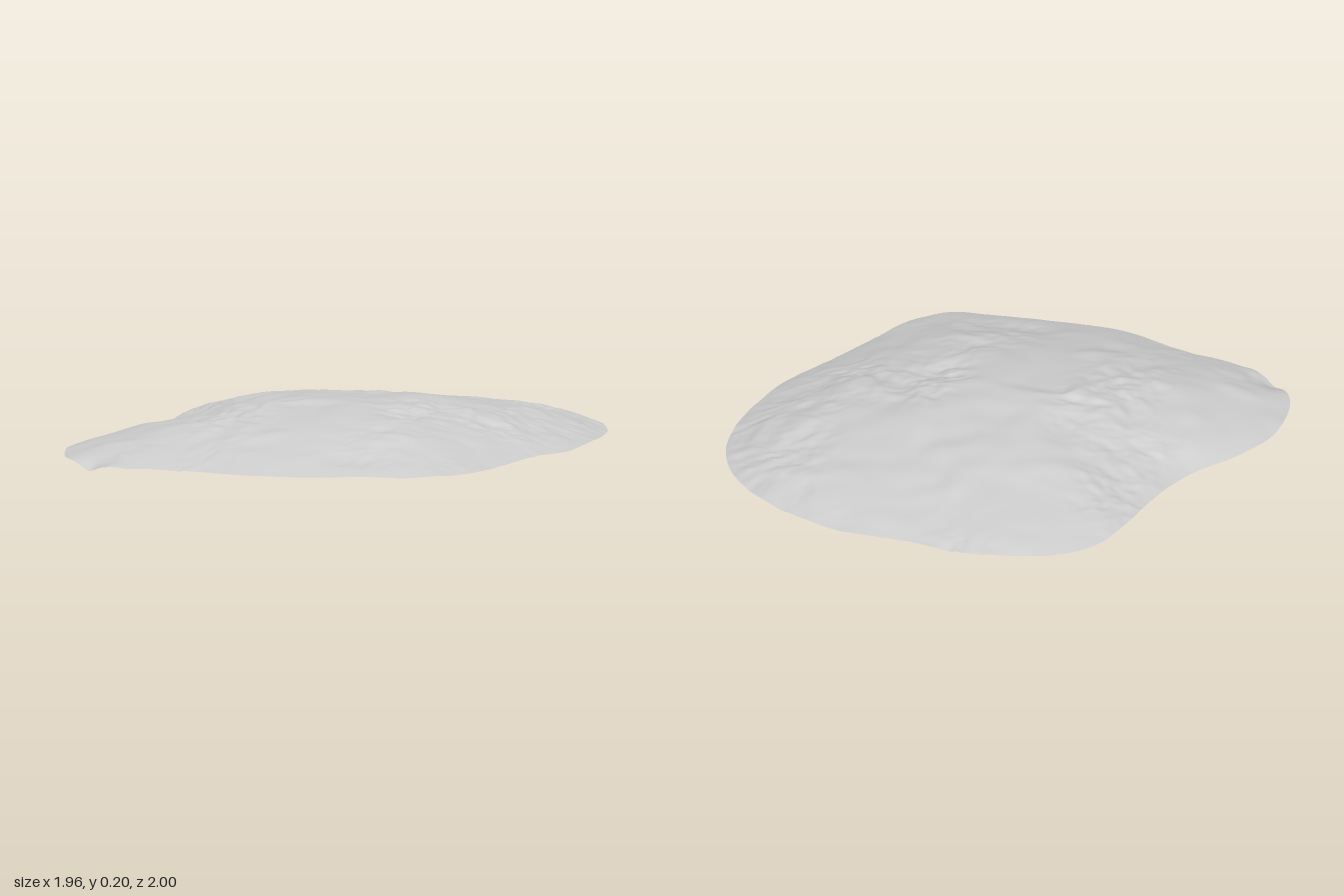
import * as THREE from 'three';

// Rim of the mound as seen from above (x, z), starting at the back
const RIM = [
  [0.2, -1], [0.4, -0.98], [0.6, -0.92], [0.8, -0.78], [0.92, -0.6], [0.97, -0.4], [0.975, -0.2],
  [0.96, 0], [0.88, 0.22], [0.82, 0.45], [0.75, 0.68], [0.62, 0.82], [0.4, 0.89], [0.1, 0.975],
  [-0.08, 0.995], [-0.3, 0.965], [-0.68, 0.95], [-0.88, 0.83], [-0.96, 0.65], [-0.98, 0.48],
  [-0.93, 0.28], [-0.83, 0.05], [-0.8, -0.2], [-0.805, -0.4], [-0.785, -0.6], [-0.72, -0.73],
  [-0.55, -0.86], [-0.35, -0.935], [-0.1, -0.965],
];

// Smooth value noise in the range -1..1
function hash(i, j) {
  const s = Math.sin(i * 127.1 + j * 311.7) * 43758.5453;
  return (s - Math.floor(s)) * 2 - 1;
}
function noise(x, z) {
  const i = Math.floor(x), j = Math.floor(z);
  const u = THREE.MathUtils.smoothstep(x - i, 0, 1), v = THREE.MathUtils.smoothstep(z - j, 0, 1);
  const { lerp } = THREE.MathUtils;
  return lerp(lerp(hash(i, j), hash(i + 1, j), u), lerp(hash(i, j + 1), hash(i + 1, j + 1), u), v);
}

const bump = (x, z, cx, cz, r) => Math.exp(-((x - cx) ** 2 + (z - cz) ** 2) / (r * r));

// Height of the ground; t runs from 0 in the middle to 1 at the rim
function height(x, z, t) {
  let y = 0.03 + 0.162 * (1 - t * t);
  y += 0.015 * bump(x, z, 0.58, -0.1, 0.22);    // side hump
  y -= 0.015 * bump(x, z, 0.34, 0.1, 0.15);     // hollow beside it
  y -= 0.025 * bump(x, z, -0.77, 0.9, 0.06);    // drooping lip
  const rough = 1 - 0.6 * t ** 4;
  const wx = x + 0.05 * noise(x * 5 + 9, z * 5), wz = z + 0.05 * noise(x * 5, z * 5 + 17);
  y += rough * (0.011 * noise(wx * 4 + 3, wz * 4) + 0.008 * noise(wx * 9, wz * 10 + 5));
  // Fine crumbs gather in patches
  const patch = THREE.MathUtils.smoothstep(noise(x * 3 + 40, z * 3), -0.5, 0.7);
  y += rough * patch * (0.008 * noise(wx * 19, wz * 22) + 0.004 * noise(wx * 36, wz * 40));
  return Math.max(y, 0);
}

export function createModel() {
  const group = new THREE.Group();
  group.name = 'rockyMound';

  const rim = new THREE.CatmullRomCurve3(RIM.map(([x, z]) => new THREE.Vector3(x, 0, z)), true);
  rim.arcLengthDivisions = 600;

  // Square grid wrapped onto a disc, stretched to the rim and raised into a mound
  const geometry = new THREE.PlaneGeometry(2, 2, 160, 160).rotateX(-Math.PI / 2);
  const pos = geometry.attributes.position;
  const p = new THREE.Vector3();
  for (let k = 0; k < pos.count; k++) {
    const a = pos.getX(k), b = pos.getZ(k);
    const t = Math.max(Math.abs(a), Math.abs(b));
    let angle = 0;
    if (t > 1e-6) {
      angle = Math.abs(a) > Math.abs(b)
        ? (Math.PI / 4) * (b / a) + (a < 0 ? Math.PI : 0)
        : Math.PI / 2 - (Math.PI / 4) * (a / b) + (b < 0 ? Math.PI : 0);
    }
    rim.getPointAt((angle / (2 * Math.PI) + 1.22) % 1, p).multiplyScalar(t);
    pos.setXYZ(k, p.x, height(p.x, p.z, t), p.z);
  }
  geometry.computeVertexNormals();

  const material = new THREE.MeshStandardMaterial({ color: 0xcccccc, side: THREE.DoubleSide });
  const ground = new THREE.Mesh(geometry, material);
  ground.name = 'groundSurface';
  group.add(ground);
  return group;
}
